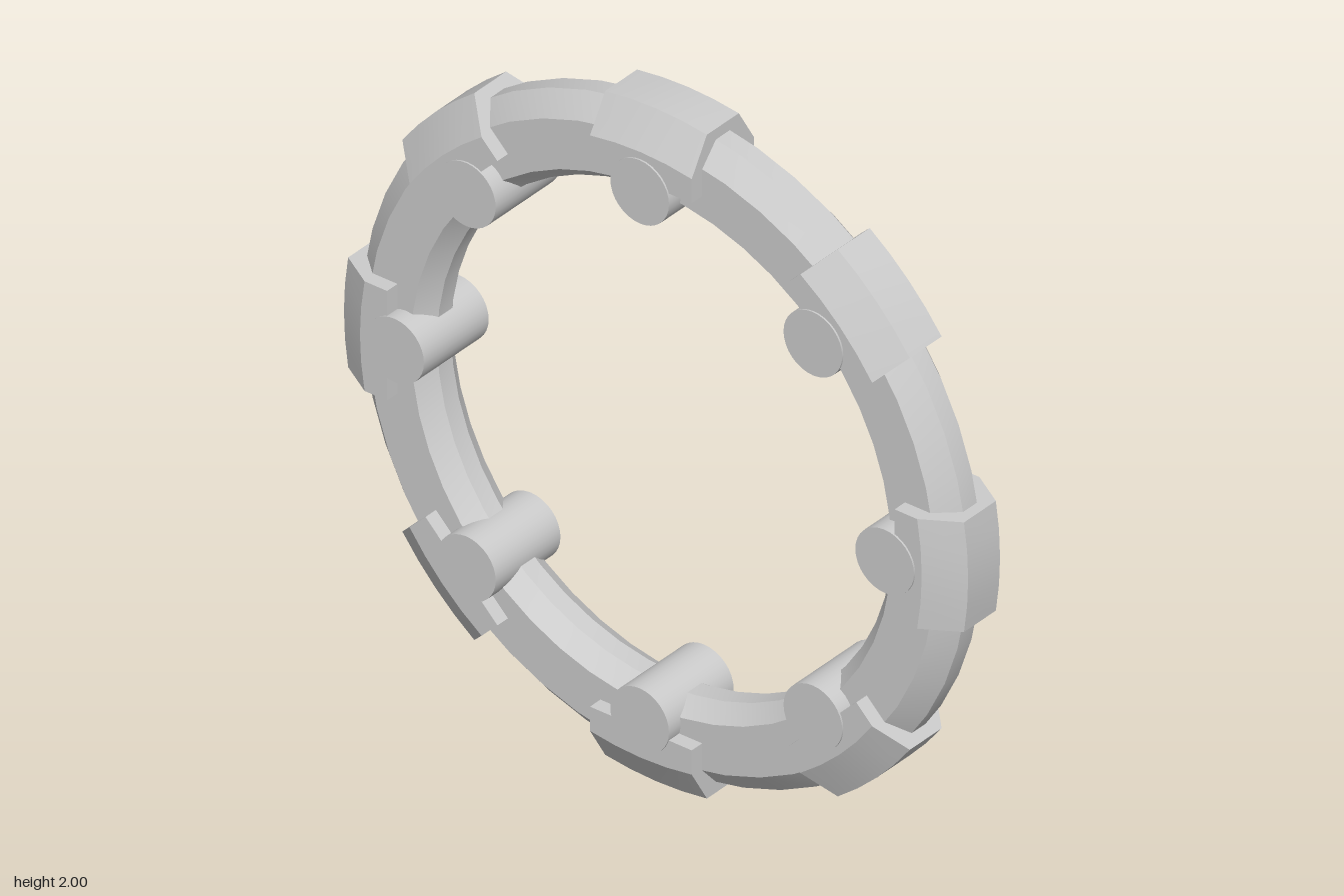
import * as THREE from 'three';
import { toCreasedNormals } from 'three/addons/utils/BufferGeometryUtils.js';

const COUNT = 8;

// Eight-sided ring section (radius, depth), turned around the z axis
function ringGeometry() {
  const section = [
    [0.97, -0.028], [0.97, 0.028], [0.91, 0.083], [0.77, 0.083],
    [0.73, 0.028], [0.73, -0.028], [0.77, -0.083], [0.91, -0.083], [0.97, -0.028],
  ].map(([r, z]) => new THREE.Vector2(r, z));
  const g = new THREE.LatheGeometry(section, 48);
  g.rotateX(Math.PI / 2);
  return toCreasedNormals(g, 0.5);
}

// Chamfered clamp section (depth, radius), extruded sideways and bent to follow the ring
function clampGeometry() {
  const width = 0.326;
  const shape = new THREE.Shape([
    [-0.125, 0.813], [0.125, 0.813], [0.125, 0.9],
    [0.064, 1.0], [-0.064, 1.0], [-0.125, 0.9],
  ].map(([z, r]) => new THREE.Vector2(z, r)));
  const g = new THREE.ExtrudeGeometry(shape, { depth: width, steps: 4, bevelEnabled: false });
  g.translate(0, 0, -width / 2);
  g.rotateY(Math.PI / 2);
  const p = g.attributes.position;
  for (let i = 0; i < p.count; i++) {
    const x = p.getX(i), r = p.getY(i);
    if (r > 0.85) p.setY(i, Math.sqrt(r * r - x * x));
  }
  return toCreasedNormals(g, 0.3);
}

export function createModel() {
  const model = new THREE.Group();
  const material = new THREE.MeshStandardMaterial({ color: 0xcccccc });
  const add = (parent, geometry, name) => {
    const mesh = new THREE.Mesh(geometry, material);
    mesh.name = name;
    parent.add(mesh);
    return mesh;
  };

  const body = new THREE.Group();
  body.name = 'ringAssembly';
  body.position.y = 1;
  model.add(body);
  add(body, ringGeometry(), 'ring');

  // Clamps on the outside, each with a round pin through the inner edge
  const clamp = clampGeometry();
  const pin = new THREE.CylinderGeometry(0.094, 0.094, 0.26, 32);
  pin.rotateX(Math.PI / 2);
  for (let i = 0; i < COUNT; i++) {
    const station = new THREE.Group();
    station.name = 'station' + (i + 1);
    station.rotation.z = (i / COUNT) * Math.PI * 2;
    add(station, clamp, 'clamp');
    add(station, pin, 'pin').position.y = 0.785;
    body.add(station);
  }
  return model;
}
